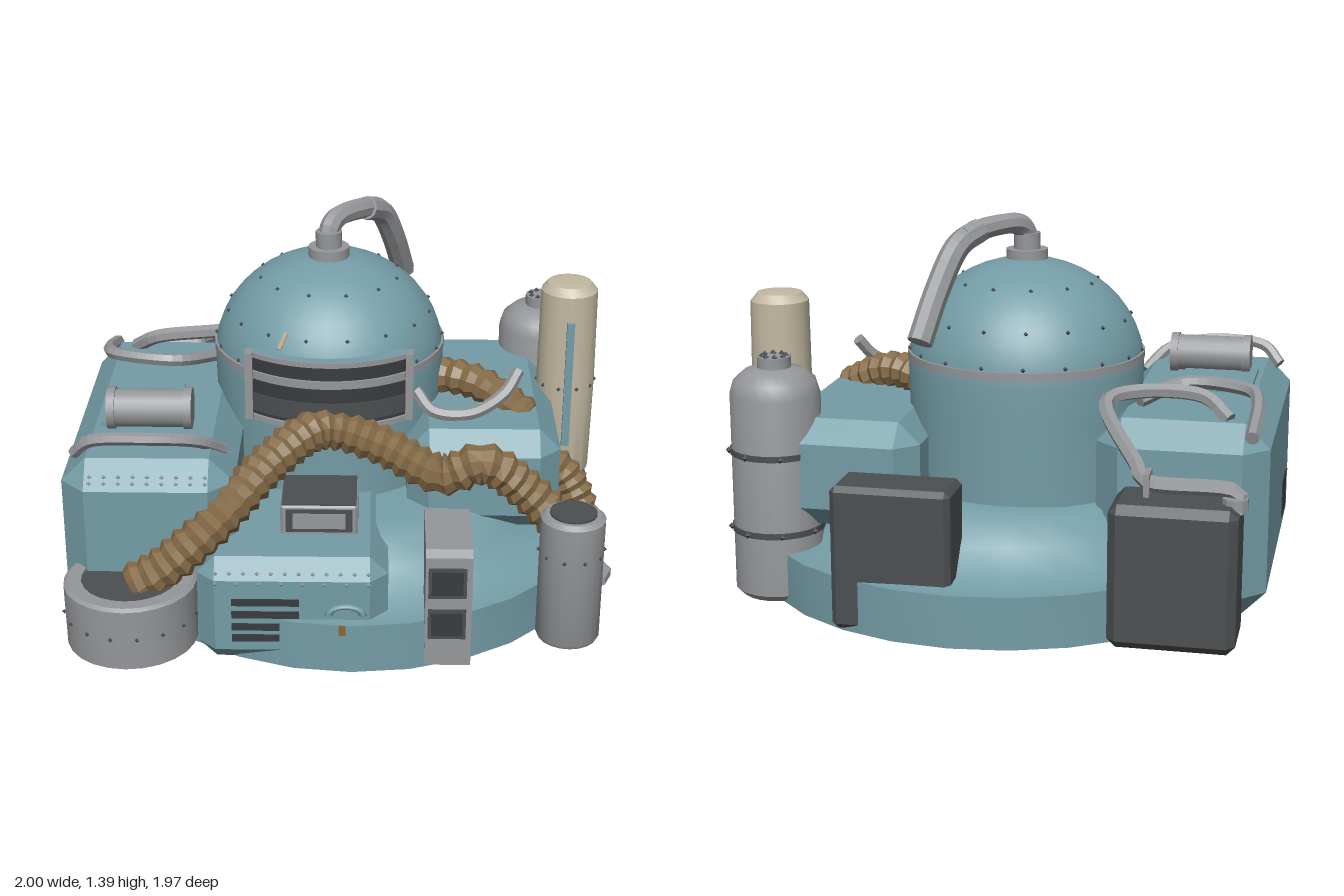
import * as THREE from 'three';
import { mergeGeometries, toCreasedNormals } from 'three/addons/utils/BufferGeometryUtils.js';
import { ConvexGeometry } from 'three/addons/geometries/ConvexGeometry.js';

const paint = (name, color) => Object.assign(new THREE.MeshStandardMaterial({ color }), { name });
const V = (p) => new THREE.Vector3(...p);

export function createModel() {
  const teal = paint('teal paint', 0x749ca6);
  teal.side = THREE.DoubleSide; // the base shell is open underneath
  const grey = paint('grey metal', 0x95979a);
  const dark = paint('dark grey', 0x4c4f51);
  const black = paint('slot black', 0x393c3e);
  const cream = paint('cream', 0xc2b9a2);
  const brown = paint('hose brown', 0x866c48);
  const rust = paint('rust', 0x8a6830);

  const model = new THREE.Group();
  const add = (name, geo, mat, x = 0, y = 0, z = 0) => {
    const m = new THREE.Mesh(geo, mat);
    m.name = name;
    m.position.set(x, y, z);
    model.add(m);
    return m;
  };

  // Box given by its min/max corners
  const box = (name, mat, x0, x1, y0, y1, z0, z1) =>
    add(name, new THREE.BoxGeometry(x1 - x0, y1 - y0, z1 - z0), mat, (x0 + x1) / 2, (y0 + y1) / 2, (z0 + z1) / 2);

  // Box with every edge chamfered by c
  const chamferBox = (name, mat, x0, x1, y0, y1, z0, z1, c) => {
    const h = [(x1 - x0) / 2, (y1 - y0) / 2, (z1 - z0) / 2];
    const pts = [];
    for (const sx of [-1, 1]) for (const sy of [-1, 1]) for (const sz of [-1, 1])
      for (let k = 0; k < 3; k++)
        pts.push(V([sx, sy, sz].map((s, i) => s * (h[i] - (i === k ? 0 : c)))));
    return add(name, new ConvexGeometry(pts), mat, (x0 + x1) / 2, (y0 + y1) / 2, (z0 + z1) / 2);
  };

  // Turned part from [radius, y] pairs listed bottom to top
  const turned = (name, mat, x, z, profile, sides = 24, crease = 0.6) =>
    add(name, toCreasedNormals(new THREE.LatheGeometry(profile.map((p) => new THREE.Vector2(...p)), sides), crease), mat, x, 0, z);
  const drum = (name, mat, x, z, r, y0, y1, sides = 24) =>
    turned(name, mat, x, z, [[0, y0], [r, y0], [r, y1], [0, y1]], sides);

  // Tube along points with capped ends; ribs > 0 makes a corrugated hose
  const pipe = (name, mat, pts, r, sides = 6, ribs = 0) => {
    const curve = new THREE.CatmullRomCurve3(pts.map(V), false, 'catmullrom', 0.5);
    const segs = ribs ? ribs * 2 : pts.length * 5;
    let geo = new THREE.TubeGeometry(curve, segs, r, sides);
    if (ribs) {
      const pos = geo.attributes.position, p = new THREE.Vector3();
      for (let i = 0; i <= segs; i++) {
        const c = curve.getPointAt(i / segs);
        for (let j = 0; j <= sides; j++) {
          const k = i * (sides + 1) + j;
          p.fromBufferAttribute(pos, k).sub(c).multiplyScalar(i % 2 ? 1.08 : 0.85).add(c);
          pos.setXYZ(k, p.x, p.y, p.z);
        }
      }
    }
    geo = geo.toNonIndexed();
    geo.computeVertexNormals();
    add(name, geo, mat);
    for (const t of [0, 1]) {
      const cap = add(name + 'End', new THREE.CircleGeometry(r * (ribs ? 0.85 : 1), 12), mat, ...curve.getPointAt(t).toArray());
      const dir = curve.getTangentAt(t).multiplyScalar(t ? 1 : -1);
      cap.quaternion.setFromUnitVectors(new THREE.Vector3(0, 0, 1), dir);
    }
  };

  // Rivet collections merged into one mesh per part
  const rivets = (name, pts, mat = dark, s = 0.009) =>
    add(name, mergeGeometries(pts.map((p) => new THREE.OctahedronGeometry(s).translate(...p))), mat);
  const ring = (x, y, z, r, n) => Array.from({ length: n }, (_, i) => {
    const a = ((i + 0.5) / n) * Math.PI * 2;
    return [x + r * Math.sin(a), y, z + r * Math.cos(a)];
  });
  const row = (x0, x1, n, y, z) => Array.from({ length: n }, (_, i) => [x0 + ((x1 - x0) * i) / (n - 1), y, z]);

  // Round base, open underneath, with a raised shoulder
  turned('base', teal, 0.04, -0.06, [[0.93, 0], [0.93, 0.19], [0.77, 0.2], [0.7, 0.29], [0.62, 0.37], [0.54, 0.39], [0, 0.39]], 28, 0.9);

  // Main housings, and the plinth hidden below the right one
  chamferBox('leftHousing', teal, -1, -0.38, 0, 0.71, -0.55, 0.69, 0.09);
  chamferBox('rightHousing', teal, 0.24, 0.81, 0.28, 0.68, -0.66, 0.355, 0.08);
  chamferBox('rightPlinth', teal, 0.2, 0.8, 0.04, 0.19, -0.6, 0.3, 0.06);
  chamferBox('frontHousing', teal, -0.51, 0.17, 0, 0.41, -0.1, 0.83, 0.065);

  // Dome with its drum wall
  const dx = -0.06, dz = -0.145;
  const dome = [[0.437, 0.34], [0.437, 0.7]];
  for (let i = 0; i <= 12; i++) {
    const a = (i / 12) * Math.PI / 2;
    dome.push([0.44 * Math.cos(a), 0.82 + 0.4 * Math.sin(a)]);
  }
  turned('dome', teal, dx, dz, dome, 36, 0.8);
  drum('domeBand', grey, dx, dz, 0.443, 0.85, 0.88, 36);
  rivets('domeRivets', [[0.89, 0.434, 18], [1.01, 0.388, 16], [1.14, 0.265, 12]].flatMap(([y, r, n]) => ring(dx, y, dz, r, n)));

  // Curved window following the dome
  const arc = (name, mat, r0, r1, half, y0, y1) => {
    const s = new THREE.Shape();
    s.absarc(0, 0, r1, -Math.PI / 2 - half, -Math.PI / 2 + half, false);
    s.absarc(0, 0, r0, -Math.PI / 2 + half, -Math.PI / 2 - half, true);
    const g = new THREE.ExtrudeGeometry(s, { depth: y1 - y0, bevelEnabled: false, curveSegments: 10 });
    add(name, g.rotateX(-Math.PI / 2), mat, dx + 0.01, y0, dz);
  };
  arc('windowGlass', black, 0.38, 0.446, 0.7, 0.7, 0.94);
  arc('windowHood', teal, 0.38, 0.45, 0.72, 0.935, 0.955);
  arc('windowTop', grey, 0.45, 0.457, 0.72, 0.935, 0.955);
  arc('windowBar', grey, 0.38, 0.455, 0.72, 0.85, 0.88);
  arc('windowLouvre', dark, 0.38, 0.451, 0.7, 0.72, 0.79);
  arc('windowSill', grey, 0.38, 0.457, 0.72, 0.685, 0.705);
  for (const x of [-0.35, 0.245]) box('windowPost', grey, x - 0.014, x + 0.014, 0.69, 0.955, 0.17, 0.225);

  // Bent exhaust pipe on the dome
  drum('pipeFlange', grey, dx, -0.13, 0.078, 1.2, 1.25, 16);
  drum('pipeNeck', grey, dx, -0.13, 0.05, 1.24, 1.31, 12);
  pipe('exhaustElbow', grey, [[-0.06, 1.26, -0.13], [-0.055, 1.32, -0.14], [-0.02, 1.35, -0.19], [0.06, 1.345, -0.29], [0.12, 1.32, -0.38]], 0.04, 8);
  pipe('exhaustTail', grey, [[0.08, 1.34, -0.31], [0.14, 1.29, -0.41], [0.19, 1.15, -0.5], [0.23, 0.98, -0.6]], 0.046, 8);

  // Corrugated hoses with floor flanges
  pipe('longHose', brown, [[-0.74, 0.29, 0.77], [-0.63, 0.35, 0.75], [-0.49, 0.46, 0.7], [-0.37, 0.56, 0.61], [-0.25, 0.64, 0.46], [-0.08, 0.69, 0.305], [0.14, 0.63, 0.31],
    [0.36, 0.54, 0.37], [0.52, 0.59, 0.38], [0.67, 0.49, 0.38], [0.82, 0.34, 0.42], [0.91, 0.18, 0.46]], 0.077, 10, 40);
  pipe('sideHose', brown, [[0.76, 0.49, 0.12], [0.84, 0.43, 0.14], [0.9, 0.32, 0.17], [0.92, 0.18, 0.2]], 0.07, 10, 9);
  pipe('topHose', brown, [[0.28, 0.7, -0.17], [0.4, 0.74, -0.08], [0.53, 0.73, -0.01], [0.7, 0.64, 0.08]], 0.068, 10, 9);
  for (const z of [0.2, 0.47]) drum('hoseFlange', grey, 0.9, z, 0.098, 0.175, 0.205, 8);

  // Handrails and cable pipes
  pipe('frontRail', grey, [[-0.96, 0.7, 0.54], [-0.88, 0.77, 0.58], [-0.68, 0.78, 0.59], [-0.52, 0.75, 0.54], [-0.43, 0.67, 0.44]], 0.023);
  pipe('sideRail', grey, [[-0.94, 0.68, -0.54], [-0.94, 0.75, -0.3], [-0.88, 0.77, -0.19], [-0.66, 0.77, -0.14], [-0.51, 0.73, -0.29]], 0.025);
  pipe('rearPipe', grey, [[-0.92, 0.48, -0.8], [-0.9, 0.56, -0.78], [-0.62, 0.57, -0.78], [-0.56, 0.62, -0.72], [-0.42, 0.76, -0.5], [-0.52, 0.79, -0.39], [-0.74, 0.78, -0.36], [-0.85, 0.71, -0.42]], 0.028);
  pipe('rightRail', grey, [[0.27, 0.78, 0.15], [0.34, 0.71, 0.19], [0.48, 0.7, 0.18], [0.6, 0.75, 0.12], [0.66, 0.83, 0.07]], 0.024);
  drum('rearPipeSocket', grey, -0.91, -0.79, 0.045, 0.5, 0.54, 10);
  box('rearPipeClamp', grey, -0.62, -0.6, 0.53, 0.61, -0.82, -0.73);

  // Dark equipment boxes
  chamferBox('rearRightBox', dark, 0.05, 0.48, 0.01, 0.53, -0.92, -0.71, 0.02);
  chamferBox('rearLeftBox', dark, -0.93, -0.49, 0.01, 0.52, -0.91, -0.64, 0.03);
  chamferBox('cylinderBase', dark, 0.77, 0.97, 0.01, 0.27, -0.34, -0.14, 0.015);

  // Roof tank and hatch on the left housing
  box('roofHatch', teal, -0.89, -0.61, 0.7, 0.725, -0.02, 0.34);
  for (const [r, length, shift] of [[0.07, 0.31, 0], [0.078, 0.03, -0.14], [0.078, 0.03, 0.14]])
    add('roofTank', new THREE.CylinderGeometry(r, r, length, 16).rotateZ(Math.PI / 2), grey, -0.705 + shift, 0.78, 0.325);

  // Low round drum at the front
  turned('drumFoot', dark, -0.75, 0.74, [[0, 0.03], [0.17, 0.03], [0.235, 0.075]]);
  turned('frontDrum', grey, -0.75, 0.74, [[0.235, 0.07], [0.238, 0.3], [0.225, 0.31], [0.175, 0.31], [0.175, 0.29]]);
  drum('drumLid', dark, -0.75, 0.74, 0.178, 0.25, 0.3);
  rivets('drumRivets', ring(-0.75, 0.19, 0.74, 0.24, 16));

  // Small canister at the front
  turned('frontCanister', grey, 0.83, 0.62, [[0, 0.015], [0.11, 0.015], [0.117, 0.03], [0.117, 0.5], [0.1, 0.515], [0, 0.515]], 20);
  drum('canisterLid', dark, 0.83, 0.62, 0.085, 0.5, 0.523, 20);
  rivets('canisterRivets', ring(0.83, 0.37, 0.62, 0.118, 10));

  // Tall cream cylinder with a gauge strip
  turned('creamCylinder', cream, 0.87, -0.24, [[0, 0.25], [0.085, 0.25], [0.108, 0.29], [0.114, 0.66], [0.11, 1.04], [0.085, 1.07], [0, 1.078]], 16);
  box('gaugeStrip', teal, 0.855, 0.885, 0.42, 0.94, -0.14, -0.118);
  rivets('creamRivets', ring(0.87, 0.66, -0.24, 0.114, 10));

  // Gas tank with bands and valve
  turned('gasTank', grey, 0.79, -0.55, [[0, 0.005], [0.14, 0.005], [0.165, 0.03], [0.165, 0.76], [0.15, 0.81], [0.11, 0.845], [0.06, 0.855]]);
  drum('tankValve', grey, 0.79, -0.55, 0.062, 0.84, 0.895, 12);
  for (const y of [0.26, 0.55]) {
    drum('tankBand', dark, 0.79, -0.55, 0.17, y - 0.011, y + 0.011);
    rivets('bandBolts', ring(0.79, y, -0.55, 0.173, 8), dark, 0.013);
  }
  rivets('valveBolts', ring(0.79, 0.897, -0.55, 0.043, 8), dark, 0.012);

  // Control pillar with an overhanging back and two screens
  const side = new THREE.Shape([[-0.84, 0.015], [-0.64, 0.015], [-0.64, 0.24], [-0.51, 0.4], [-0.51, 0.47], [-0.81, 0.47], [-0.84, 0.45]].map((p) => new THREE.Vector2(...p)));
  add('controlPillar', new THREE.ExtrudeGeometry(side, { depth: 0.165, bevelEnabled: false }).rotateY(Math.PI / 2), grey, 0.3);
  for (const y of [0.35, 0.185]) {
    box('screenFrame', dark, 0.31, 0.445, y - 0.06, y + 0.06, 0.839, 0.844);
    box('screen', black, 0.322, 0.433, y - 0.046, y + 0.046, 0.843, 0.848);
  }

  // Instrument box on the front housing
  chamferBox('instrumentBox', grey, -0.22, 0.06, 0.4, 0.525, 0.36, 0.6, 0.01);
  box('instrumentTop', dark, -0.215, 0.055, 0.523, 0.529, 0.365, 0.595);
  box('instrumentFace', dark, -0.2, 0.04, 0.42, 0.51, 0.598, 0.604);
  box('instrumentPanel', grey, -0.175, 0.015, 0.435, 0.495, 0.603, 0.608);

  // Vent slots, lamp hood and side grille
  [[0.26, -0.145], [0.21, -0.145], [0.16, -0.215], [0.115, -0.215]].forEach(([y, x1]) =>
    box('ventSlot', black, -0.385, x1, y - 0.014, y + 0.014, 0.829, 0.834));
  add('lampHood', new THREE.TorusGeometry(0.06, 0.015, 6, 12, Math.PI).scale(1, 0.6, 1), teal, 0.02, 0.21, 0.83);
  box('rustStain', rust, -0.005, 0.02, 0.15, 0.19, 0.863, 0.871);
  const chip = box('rustChip', rust, -0.23, -0.215, 0.97, 1.04, 0.217, 0.225);
  chip.rotation.set(-0.6, 0, -0.4);
  box('sideGrille', black, -1.004, -0.998, 0.13, 0.28, 0.3, 0.48);

  // Rivet rows on the housings
  rivets('leftRivets', [...row(-0.89, -0.48, 9, 0.66, 0.652), ...row(-0.89, -0.48, 9, 0.642, 0.669)], grey);
  rivets('frontRivets', [...row(-0.44, 0.1, 12, 0.365, 0.812), ...row(-0.44, 0.1, 8, 0.335, 0.832)], grey);

  return model;
}
